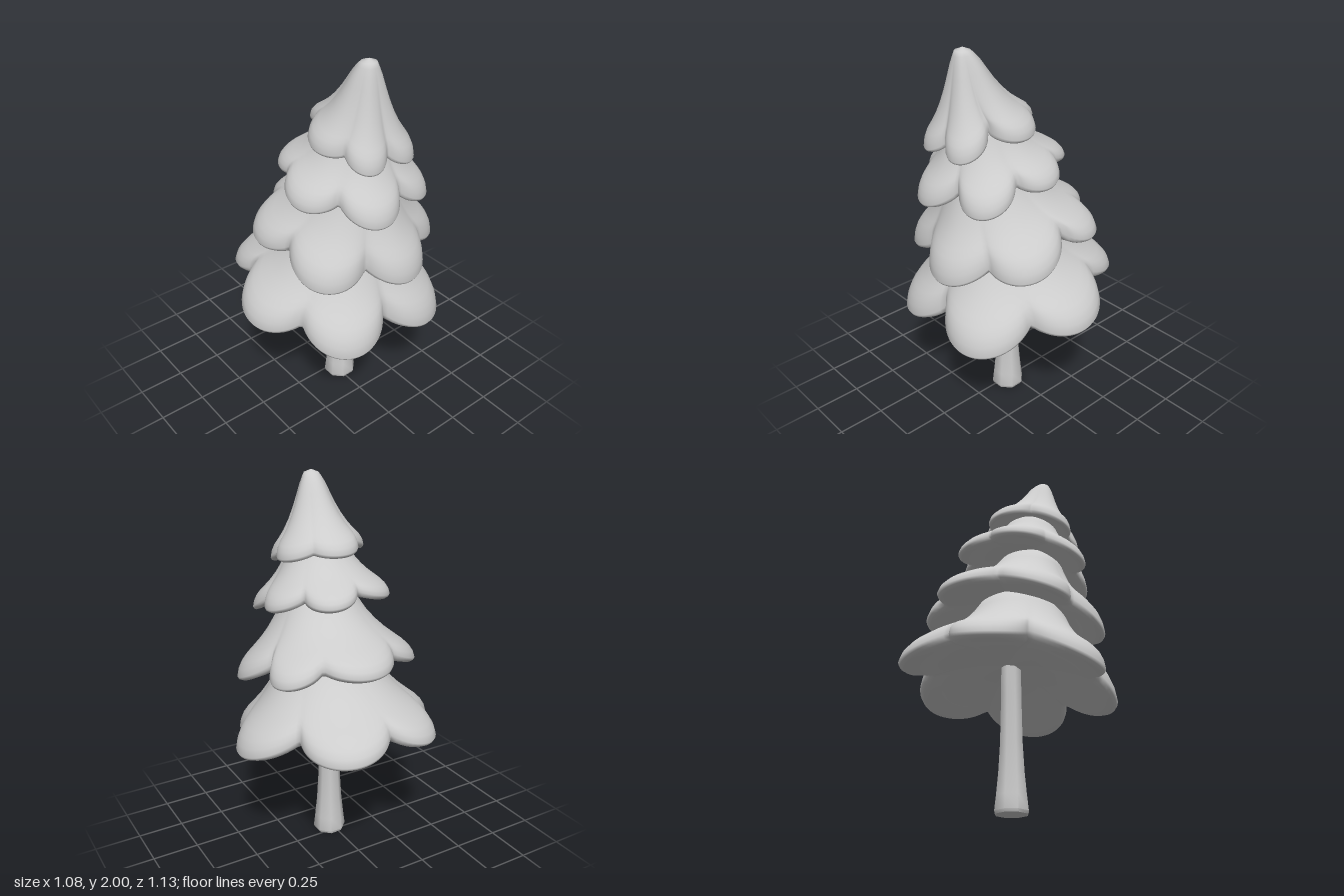
import * as THREE from 'three';
import { toCreasedNormals } from 'three/addons/utils/BufferGeometryUtils.js';

const SEGMENTS = 144;
const { lerp } = THREE.MathUtils;

// Slope of a bough layer: [fraction outward from neck to rim, fraction of the drop]
const SKIRT = [[0, 0], [0.12, 0.19], [0.25, 0.35], [0.4, 0.49], [0.55, 0.6], [0.7, 0.69], [0.82, 0.76], [0.91, 0.83], [0.97, 0.91], [1, 1]];
const CROWN = [[0, 0], [0.06, 0.05], [0.15, 0.14], [0.25, 0.27], [0.36, 0.41], [0.5, 0.56], [0.65, 0.69], [0.8, 0.79], [0.9, 0.85], [0.97, 0.92], [1, 1]];
// Underside: [fraction outward from centre to rim, height relative to the rim]
const UNDER = [[0.985, -0.015], [0.95, -0.023], [0.88, -0.016], [0.75, 0.015], [0.55, 0.06], [0.3, 0.1], [0, 0.12]];

// Layers from bottom to top; lobes are circles [x, z, radius] seen from above
const LAYERS = [
  { name: 'bottomBoughs', centre: [0, 0], reach: 0.57, rimY: 0.635, tilt: -0.135, thick: 1,
    neck: [0.1, 1.12, 0], neckR: 0.22, slope: SKIRT,
    lobes: [[0, -0.33, 0.24], [-0.31, -0.13, 0.23], [-0.31, 0.2, 0.195], [0.02, 0.335, 0.23], [0.31, 0.19, 0.215], [0.305, -0.18, 0.235]] },
  { name: 'lowerMiddleBoughs', centre: [0.07, -0.02], reach: 0.48, rimY: 0.992, tilt: -0.2, thick: 0.9,
    neck: [0.18, 1.42, 0], neckR: 0.17, slope: SKIRT,
    lobes: [[-0.19, -0.02, 0.215], [-0.13, -0.29, 0.145], [0.18, -0.27, 0.2], [0.34, -0.06, 0.2], [0.24, 0.215, 0.195], [-0.05, 0.23, 0.2]] },
  { name: 'upperMiddleBoughs', centre: [0.13, 0], reach: 0.38, rimY: 1.338, tilt: -0.2, thick: 0.8,
    neck: [0.19, 1.66, 0], neckR: 0.14, slope: SKIRT,
    lobes: [[-0.1, -0.09, 0.135], [-0.02, 0.12, 0.165], [0.16, 0.21, 0.165], [0.35, 0.07, 0.155], [0.31, -0.175, 0.135], [0.07, -0.21, 0.145]] },
  { name: 'crown', centre: [0.18, 0.01], reach: 0.27, rimY: 1.582, tilt: -0.18, thick: 0.7,
    neck: [0.28, 1.985, 0.02], neckR: 0.038, slope: CROWN,
    lobes: [[0.05, 0, 0.14], [0.13, -0.115, 0.135], [0.35, -0.08, 0.1], [0.35, 0.09, 0.1], [0.19, 0.12, 0.14]] },
];

// Farthest point where a ray from the layer centre leaves a lobe
function rimRadius(layer, angle) {
  const dx = Math.cos(angle), dz = Math.sin(angle);
  let radius = 0;
  for (const [x, z, r] of layer.lobes) {
    const px = x - layer.centre[0], pz = z - layer.centre[1];
    const along = px * dx + pz * dz;
    const off = r * r - (px * px + pz * pz - along * along);
    if (off > 0) radius = Math.max(radius, along + Math.sqrt(off));
  }
  return radius;
}

// Average over part of a lobe's width, so the notches fade out up the slope
function softRadius(layer, angle) {
  let sum = 0;
  for (let i = -6; i <= 6; i++) sum += rimRadius(layer, angle + i * 0.06);
  return sum / 13;
}

// Scalloped, leaning skirt built from rings: neck cap, slope, rounded rim, underside
function boughGeometry(layer) {
  const { centre, neck, neckR, slope, reach, rimY, tilt, thick } = layer;
  const rows = slope.length + UNDER.length + 1;
  const positions = [], index = [], spokes = [];
  for (let j = 0; j < SEGMENTS; j++) {
    const angle = (j / SEGMENTS) * Math.PI * 2;
    spokes.push({ dx: Math.cos(angle), dz: Math.sin(angle), sharp: rimRadius(layer, angle), soft: softRadius(layer, angle) });
  }
  // Rim point of a spoke, from soft outline (0) to scalloped outline (1)
  const rimPoint = ({ dx, dz, sharp, soft }, scallop) => {
    const r = lerp(soft, sharp, scallop);
    return [centre[0] + r * dx, rimY + tilt * r * dx + 0.7 * (reach - r), centre[1] + r * dz];
  };
  for (let j = 0; j < SEGMENTS; j++) positions.push(neck[0], neck[1] + 0.015, neck[2]);
  for (const [s, drop] of slope) {
    for (const spoke of spokes) {
      const [x, y, z] = rimPoint(spoke, s);
      positions.push(
        lerp(neck[0] + neckR * spoke.dx, x, s),
        lerp(neck[1], y, drop),
        lerp(neck[2] + neckR * spoke.dz, z, s));
    }
  }
  for (const [s, lift] of UNDER) {
    for (const spoke of spokes) {
      const [x, y, z] = rimPoint(spoke, s);
      positions.push(lerp(centre[0], x, s), lerp(rimY, y, s) + lift * thick, lerp(centre[1], z, s));
    }
  }
  for (let i = 0; i < rows - 1; i++) {
    for (let j = 0; j < SEGMENTS; j++) {
      const a = i * SEGMENTS + j, c = i * SEGMENTS + (j + 1) % SEGMENTS;
      const b = a + SEGMENTS, d = c + SEGMENTS;
      index.push(a, c, b, c, d, b);
    }
  }
  const geometry = new THREE.BufferGeometry();
  geometry.setAttribute('position', new THREE.Float32BufferAttribute(positions, 3));
  geometry.setIndex(index);
  geometry.computeVertexNormals();
  return geometry;
}

export function createModel() {
  const group = new THREE.Group();
  group.name = 'leaningPineTree';
  const grey = new THREE.MeshStandardMaterial({ color: 0xcccccc });
  grey.name = 'grey';

  // Trunk flaring towards the ground, with a sharp edge at the foot
  const profile = [[0, 0], [0.084, 0], [0.09, 0.015], [0.081, 0.09], [0.07, 0.2], [0.061, 0.35], [0.056, 0.6], [0.055, 0.85]]
    .map(([r, y]) => new THREE.Vector2(r, y));
  const trunk = new THREE.Mesh(toCreasedNormals(new THREE.LatheGeometry(profile, 8, Math.PI / 8), 0.8), grey);
  trunk.name = 'trunk';
  trunk.position.set(0.045, 0, -0.016);
  group.add(trunk);

  // Four stacked layers of boughs
  for (const layer of LAYERS) {
    const mesh = new THREE.Mesh(boughGeometry(layer), grey);
    mesh.name = layer.name;
    group.add(mesh);
  }
  return group;
}
